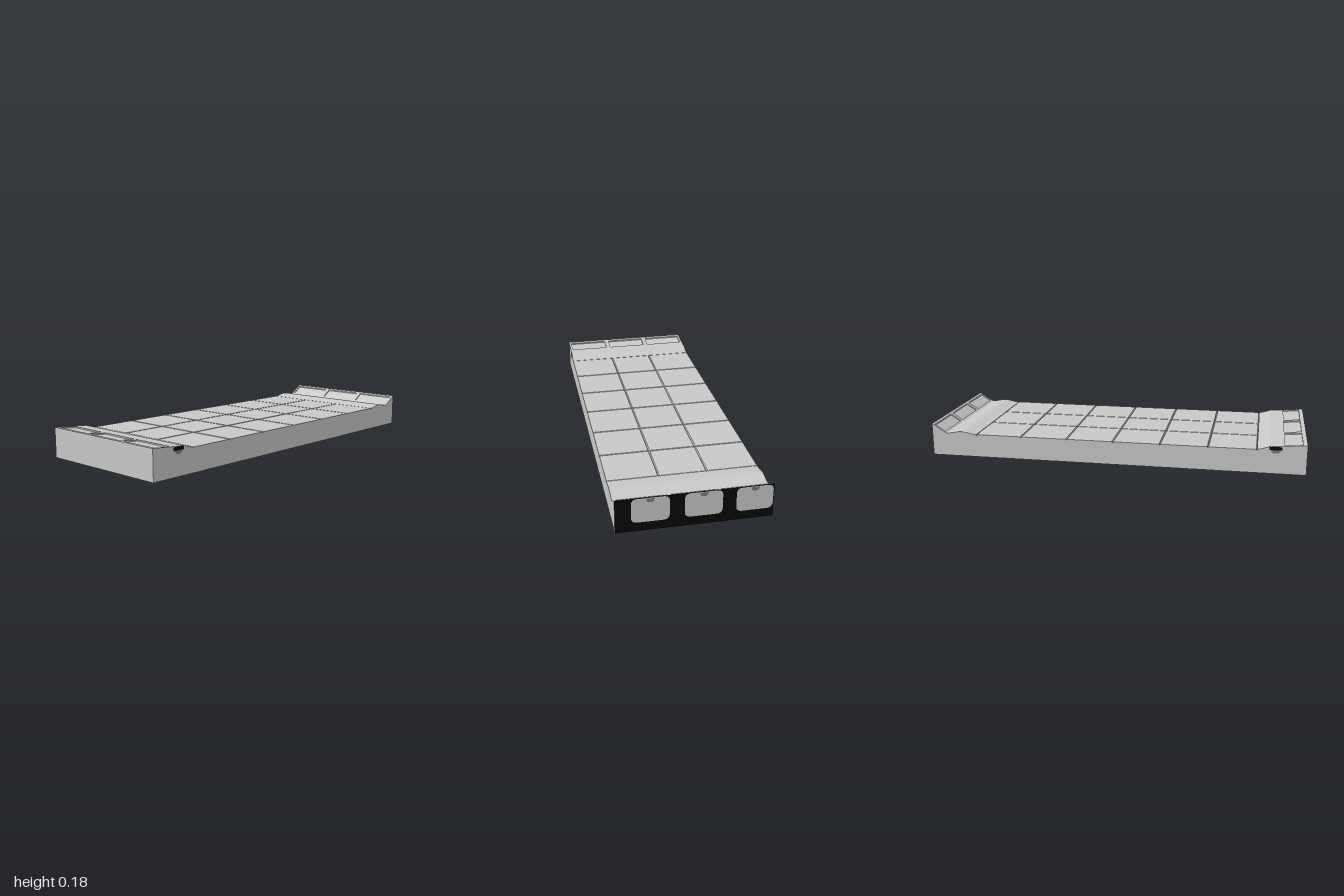
import * as THREE from 'three';

const HALF = 0.375;   // half width
const DEPTH = 0.007;  // depth of grooves and pockets

export function createModel() {
  const model = new THREE.Group();
  const material = (name, color) => Object.assign(new THREE.MeshStandardMaterial({ color }), { name });
  const concrete = material('concrete grey', 0xc8c8c8);
  const black = material('black', 0x080808);
  const shade = material('dark grey', 0x777777);

  function add(name, geometry, mat, parent = model) {
    const mesh = new THREE.Mesh(geometry, mat);
    mesh.name = name;
    parent.add(mesh);
    return mesh;
  }
  function rect(Type, x0, y0, x1, y1) {
    const s = new Type();
    s.moveTo(x0, y0); s.lineTo(x1, y0); s.lineTo(x1, y1); s.lineTo(x0, y1);
    s.closePath();
    return s;
  }
  function roundedHole(x0, y0, x1, y1, r) {
    const p = new THREE.Path();
    p.moveTo(x0 + r, y0);
    p.lineTo(x1 - r, y0); p.quadraticCurveTo(x1, y0, x1, y0 + r);
    p.lineTo(x1, y1 - r); p.quadraticCurveTo(x1, y1, x1 - r, y1);
    p.lineTo(x0 + r, y1); p.quadraticCurveTo(x0, y1, x0, y1 - r);
    p.lineTo(x0, y0 + r); p.quadraticCurveTo(x0, y0, x0 + r, y0);
    return p;
  }

  // Slab: side profile (z, y) swept across the width
  const profile = [[-1, 0], [1, 0], [1, 0.158 - DEPTH], [0.875, 0.147 - DEPTH], [0.875, 0.147],
    [0.81, 0.142], [0.775, 0.131], [0.75, 0.125], [0.75, 0.125 - DEPTH], [-0.75, 0.125 - DEPTH]];
  for (let i = 0; i <= 16; i++) {   // rounded hump
    const t = i / 16;
    profile.push([-0.75 - 0.17 * t, 0.125 + 0.006 * (1 - Math.cos(t * Math.PI * 2))]);
  }
  profile.push([-0.92, 0.125 - DEPTH], [-1, 0.175 - DEPTH]);
  const slab = new THREE.ExtrudeGeometry(
    new THREE.Shape(profile.map(([z, y]) => new THREE.Vector2(z, y))),
    { depth: 2 * HALF, bevelEnabled: false });
  slab.rotateY(-Math.PI / 2).translate(HALF, 0, 0);
  add('slab', slab, concrete);

  // Deck tiles, chamfered so that V grooves run between them
  const deck = new THREE.Group();
  deck.name = 'deck';
  model.add(deck);
  const columns = [-HALF, -0.12, 0.12, HALF];
  for (let c = 0; c < 3; c++) {
    for (let r = 0; r < 6; r++) {
      const w = columns[c + 1] - columns[c], cx = (columns[c + 1] + columns[c]) / 2;
      let g = new THREE.BoxGeometry(w, DEPTH, 0.25);
      g.translate(cx, 0.125 - DEPTH / 2, -0.625 + r * 0.25);
      const p = g.attributes.position;
      for (let i = 0; i < p.count; i++) {
        if (p.getY(i) < 0.124) continue;
        const x = p.getX(i), z = p.getZ(i), cz = -0.625 + r * 0.25;
        if (Math.abs(x) < HALF - 0.01) p.setX(i, x - Math.sign(x - cx) * 0.004);
        p.setZ(i, z - Math.sign(z - cz) * 0.004);
      }
      g = g.toNonIndexed();
      g.computeVertexNormals();
      add('deckTile', g, concrete, deck);
    }
  }

  // Sloped frames, each with three shallow pockets
  function pocketFrame(name, [z0, y0], [z1, y1], v0, v1) {
    const shape = rect(THREE.Shape, -HALF, 0, HALF, 1);
    for (const x of [-0.25, 0, 0.25]) {
      shape.holes.push(rect(THREE.Path, x - 0.112, v0, x + 0.112, v1));
    }
    const g = new THREE.ExtrudeGeometry(shape, { depth: DEPTH, bevelEnabled: false });
    g.applyMatrix4(new THREE.Matrix4().makeBasis(
      new THREE.Vector3(1, 0, 0), new THREE.Vector3(0, y1 - y0, z1 - z0), new THREE.Vector3(0, 1, 0)));
    g.translate(0, y0 - DEPTH, z0);
    g.computeVertexNormals();
    add(name, g, concrete);
  }
  pocketFrame('frontPocketFrame', [1, 0.158], [0.875, 0.147], 0.18, 0.9);
  pocketFrame('rearRampFrame', [-0.92, 0.125], [-1, 0.175], 0.14, 0.86);

  // Black painted frames on the back face and on the rear of the underside
  const windows = [[0.12, 0.3], [-0.13, 0.05], [-0.372, -0.195]];
  const back = rect(THREE.Shape, -HALF, 0, HALF, 0.175);
  const under = rect(THREE.Shape, -HALF, -1, HALF, -0.77);
  for (const [a, b] of windows) {
    back.holes.push(roundedHole(-b, 0.045, -a, 0.172, 0.03));
    under.holes.push(roundedHole(a, -0.99, b, -0.85, 0.035));
    const spot = new THREE.CircleGeometry(0.02, 16, Math.PI, Math.PI);
    add('backSpot', spot.rotateY(Math.PI).translate((a + b) / 2, 0.168, -1.001), shade);
  }
  add('backPaint', new THREE.ShapeGeometry(back).rotateY(Math.PI).translate(0, 0, -1.001), black);
  add('undersidePaint', new THREE.ShapeGeometry(under).rotateX(Math.PI / 2).translate(0, -0.001, 0), black);

  // Drain marks on both sides near the front
  for (const side of [-1, 1]) {
    const turn = side * Math.PI / 2, x = side * (HALF + 0.001);
    add('drainMark', new THREE.PlaneGeometry(0.065, 0.018).rotateY(turn).translate(x, 0.134, 0.843), black);
    add('drainShade', new THREE.CircleGeometry(0.025, 16, Math.PI, Math.PI)
      .scale(1, 0.7, 1).rotateY(turn).translate(x, 0.125, 0.843), shade);
  }
  return model;
}
